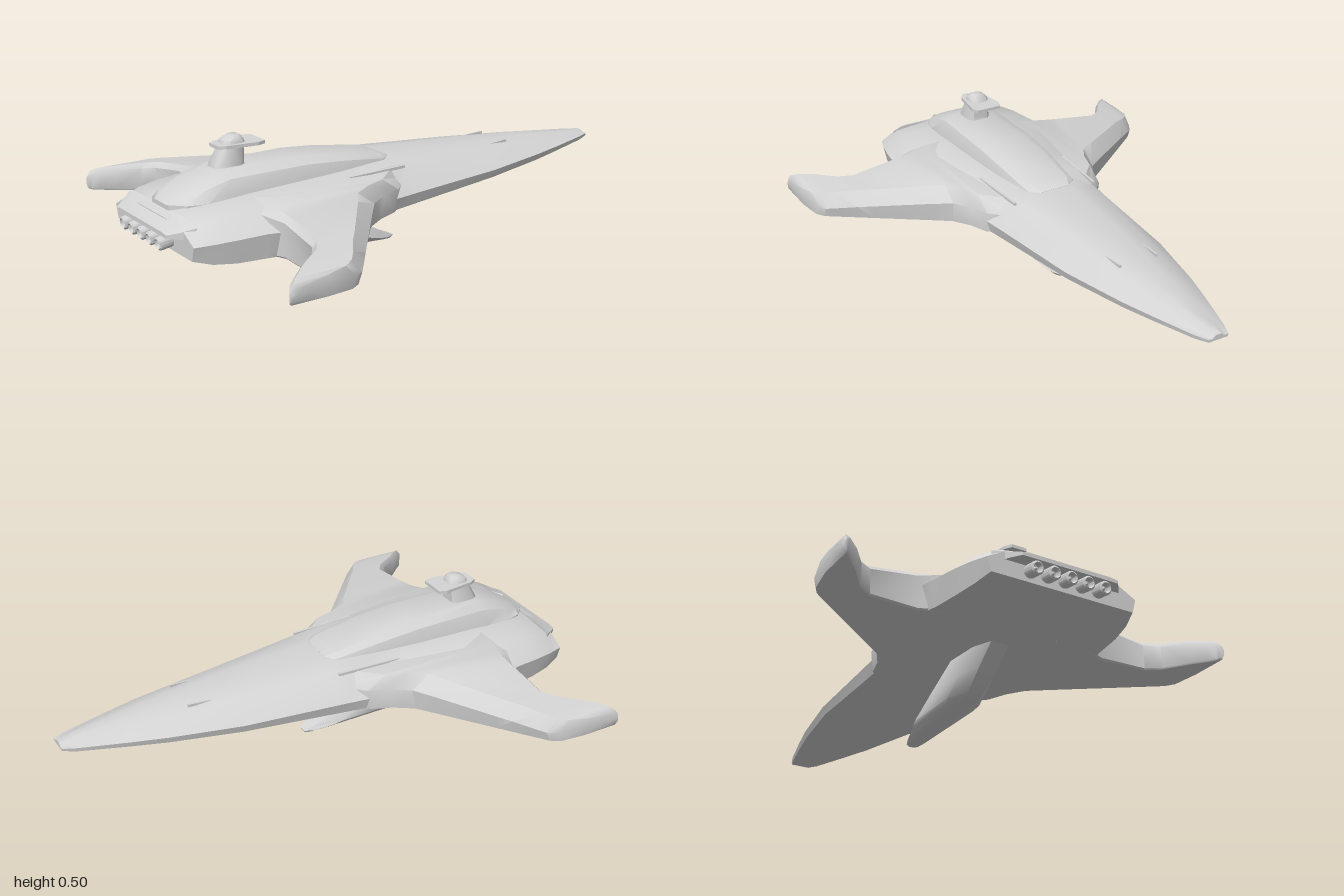
import * as THREE from 'three';
import { toCreasedNormals } from 'three/addons/utils/BufferGeometryUtils.js';

// Skin a list of equal-length point rings, cap both ends, and face it outwards
function loft(rings, crease = 0.5) {
  const tris = [];
  const n = rings[0].length;
  for (let i = 0; i < rings.length - 1; i++) {
    for (let j = 0; j < n; j++) {
      const k = (j + 1) % n;
      const a = rings[i][j], b = rings[i][k], c = rings[i + 1][k], d = rings[i + 1][j];
      tris.push([a, b, c], [a, c, d]);
    }
  }
  for (const end of [0, 1]) {
    const ring = rings[end ? rings.length - 1 : 0];
    const mid = [0, 1, 2].map((q) => ring.reduce((s, p) => s + p[q], 0) / n);
    for (let j = 0; j < n; j++) {
      const k = (j + 1) % n;
      tris.push(end ? [mid, ring[j], ring[k]] : [mid, ring[k], ring[j]]);
    }
  }
  let volume = 0;
  const [A, B, C] = [new THREE.Vector3(), new THREE.Vector3(), new THREE.Vector3()];
  for (const [a, b, c] of tris) volume += A.fromArray(a).dot(B.fromArray(b).cross(C.fromArray(c)));
  if (volume < 0) tris.forEach((t) => t.reverse());
  const geometry = new THREE.BufferGeometry();
  geometry.setAttribute('position', new THREE.Float32BufferAttribute(tris.flat(2), 3));
  return toCreasedNormals(geometry, crease);
}

// Mirror a half outline [x, y] (top to bottom, x > 0) into a full ring at z
function mirrorRing(half, z) {
  const right = half.map(([x, y]) => [x, y, z]);
  const left = half.slice().reverse().map(([x, y]) => [-x, y, z]);
  return [...right, ...left];
}

// Octagonal ring lying flat at height y
function flatRing(y, w, z0, z1, cx, cz) {
  return [[w, z0 + cz], [w, z1 - cz], [w - cx, z1], [cx - w, z1], [-w, z1 - cz], [-w, z0 + cz], [cx - w, z0], [w - cx, z0]]
    .map(([x, z]) => [x, y, z]);
}

export function createModel() {
  const group = new THREE.Group();
  const grey = new THREE.MeshStandardMaterial({ color: 0xd4d4d4 });
  grey.name = 'hull grey';
  const add = (name, geometry, x = 0, y = 0, z = 0) => {
    const mesh = new THREE.Mesh(geometry, grey);
    mesh.name = name;
    mesh.position.set(x, y, z);
    group.add(mesh);
    return mesh;
  };

  // Main hull: z, crease half-width, edge half-width, top, edge height, bottom
  const hull = [
    [-1, 0.025, 0.04, 0.275, 0.265, 0.255],
    [-0.95, 0.04, 0.06, 0.281, 0.264, 0.249],
    [-0.78, 0.065, 0.11, 0.297, 0.26, 0.24],
    [-0.65, 0.08, 0.145, 0.31, 0.257, 0.233],
    [-0.38, 0.11, 0.2, 0.327, 0.25, 0.22],
    [0, 0.15, 0.235, 0.345, 0.24, 0.197],
    [0.12, 0.165, 0.247, 0.345, 0.236, 0.19],
    [0.3, 0.19, 0.3, 0.341, 0.235, 0.18],
    [0.64, 0.25, 0.36, 0.33, 0.25, 0.162],
    [0.7, 0.26, 0.345, 0.326, 0.25, 0.16],
    [0.8, 0.255, 0.33, 0.318, 0.245, 0.16],
    [0.88, 0.245, 0.312, 0.307, 0.24, 0.167],
    [0.945, 0.22, 0.29, 0.285, 0.235, 0.185],
  ];
  add('hull', loft(hull.map(([z, c, w, top, mid, bot]) =>
    mirrorRing([[c * 0.4, top], [c, top - 0.012], [w, mid], [w * 0.95, bot]], z)), 0.7));

  // Swept wings: x, leading z, trailing z, top, leading bevel, trailing bevel, lift of the lower edge
  const wing = [
    [0.15, 0, 0.7, 0.325, 0.06, 0.05, 0],
    [0.245, 0.1, 0.7, 0.321, 0.07, 0.05, 0],
    [0.27, 0.18, 0.69, 0.318, 0.07, 0.05, 0],
    [0.31, 0.25, 0.675, 0.313, 0.07, 0.04, 0],
    [0.37, 0.3, 0.652, 0.305, 0.06, 0.02, 0],
    [0.55, 0.447, 0.66, 0.276, 0.05, 0.02, 0],
    [0.6, 0.488, 0.695, 0.268, 0.05, 0.02, 0],
    [0.66, 0.537, 0.78, 0.257, 0.04, 0.02, 0],
    [0.7, 0.57, 0.825, 0.249, 0.04, 0.02, 0],
    [0.72, 0.605, 0.85, 0.242, 0.04, 0.02, 0],
    [0.735, 0.7, 0.86, 0.232, 0.03, 0.015, 0.003],
    [0.742, 0.79, 0.86, 0.218, 0.02, 0.015, 0.015],
  ];
  const underside = (z) => 0.16 + Math.max(0, 0.6 - z) * 0.058;
  for (const [side, name] of [[1, 'leftWing'], [-1, 'rightWing']]) {
    add(name, loft(wing.map(([x, zl, zt, top, cl, ct, lift]) => [
      [zl, Math.max(top - 0.05, 0.2)], [zl + cl, top], [zt - ct, top], [zt, top - 0.02],
      [zt, 0.166 + lift], [zt - 0.006, 0.16 + lift], [zl + 0.015, underside(zl) + lift],
    ].map(([z, y]) => [x * side, y, z])), 0.75));
  }

  // Raised spine: z, top half-width, base half-width, top height
  const spine = [
    [0.02, 0.06, 0.08, 0.346],
    [0.06, 0.075, 0.11, 0.358],
    [0.25, 0.075, 0.13, 0.388],
    [0.4, 0.07, 0.137, 0.402],
    [0.7, 0.06, 0.14, 0.402],
    [0.8, 0.055, 0.13, 0.37],
    [0.87, 0.05, 0.108, 0.338],
    [0.915, 0.03, 0.06, 0.312],
  ];
  add('spine', loft(spine.map(([z, c, w, top]) => {
    const base = 0.29;
    return mirrorRing([[c, top], [c + (w - c) * 0.65, top - (top - base) * 0.18], [w, base + 0.025], [w, base]], z);
  })));

  // Sensor tower: raked neck, flat dish and cap
  add('towerNeck', loft([
    flatRing(0.38, 0.048, 0.6, 0.72, 0.015, 0.02),
    flatRing(0.41, 0.046, 0.605, 0.71, 0.015, 0.02),
    flatRing(0.475, 0.036, 0.6, 0.675, 0.012, 0.015),
  ], 0.9));
  const dish = new THREE.Shape([[-0.05, 0.53], [0.05, 0.53], [0.06, 0.56], [0.045, 0.68], [0.03, 0.705],
    [-0.03, 0.705], [-0.045, 0.68], [-0.06, 0.56]].map(([x, z]) => new THREE.Vector2(x, z)));
  add('towerDish', new THREE.ExtrudeGeometry(dish, { depth: 0.012, bevelEnabled: false }), 0, 0.478).rotation.x = Math.PI / 2;
  add('towerCap', loft([
    flatRing(0.475, 0.037, 0.595, 0.675, 0.012, 0.015),
    flatRing(0.49, 0.035, 0.6, 0.67, 0.012, 0.015),
    flatRing(0.504, 0.022, 0.61, 0.648, 0.008, 0.01),
  ], 0.9));

  // Forward-raked ventral fin
  add('ventralFin', loft([
    flatRing(0.19, 0.06, 0.29, 0.6, 0.025, 0.08),
    flatRing(0.1, 0.065, 0.135, 0.49, 0.03, 0.08),
    flatRing(0.04, 0.065, 0.025, 0.41, 0.035, 0.08),
    flatRing(0.027, 0.055, 0, 0.37, 0.03, 0.07),
    flatRing(0.01, 0.035, -0.04, 0.12, 0.018, 0.04),
    flatRing(0, 0.02, -0.035, 0.02, 0.01, 0.015),
  ], 0.8));

  // Stern overhang above the engines
  add('sternLip', loft([
    mirrorRing([[0.21, 0.298], [0.25, 0.285], [0.25, 0.235]], 0.91),
    mirrorRing([[0.18, 0.277], [0.215, 0.268], [0.215, 0.245]], 0.955),
    mirrorRing([[0.16, 0.262], [0.185, 0.258], [0.185, 0.247]], 0.99),
  ]));

  // Five hollow engine nozzles with inner cones, angled slightly down
  const nozzle = [[0, 0], [0.018, 0], [0.024, 0.02], [0.024, 0.06], [0.018, 0.065], [0.012, 0.045], [0, 0.045]]
    .map(([r, h]) => new THREE.Vector2(r, h));
  const nozzleGeometry = toCreasedNormals(new THREE.LatheGeometry(nozzle, 16), 0.6);
  const tilt = Math.PI / 2 + 0.15;
  for (let i = -2; i <= 2; i++) {
    add('engineNozzle', nozzleGeometry, i * 0.066, 0.224, 0.933).rotation.x = tilt;
    add('engineCone', new THREE.ConeGeometry(0.007, 0.015, 10), i * 0.066, 0.2165, 0.983).rotation.x = tilt;
  }

  // Small raised ridges along the upper deck
  for (const side of [-1, 1]) {
    add('foreRidge', new THREE.BoxGeometry(0.007, 0.01, 0.11), side * 0.077, 0.312, -0.485).rotation.set(0.06, side * 0.04, 0);
    add('deckRidge', new THREE.BoxGeometry(0.01, 0.01, 0.25), side * 0.176, 0.326, 0.145).rotation.y = side * 0.05;
  }
  return group;
}
